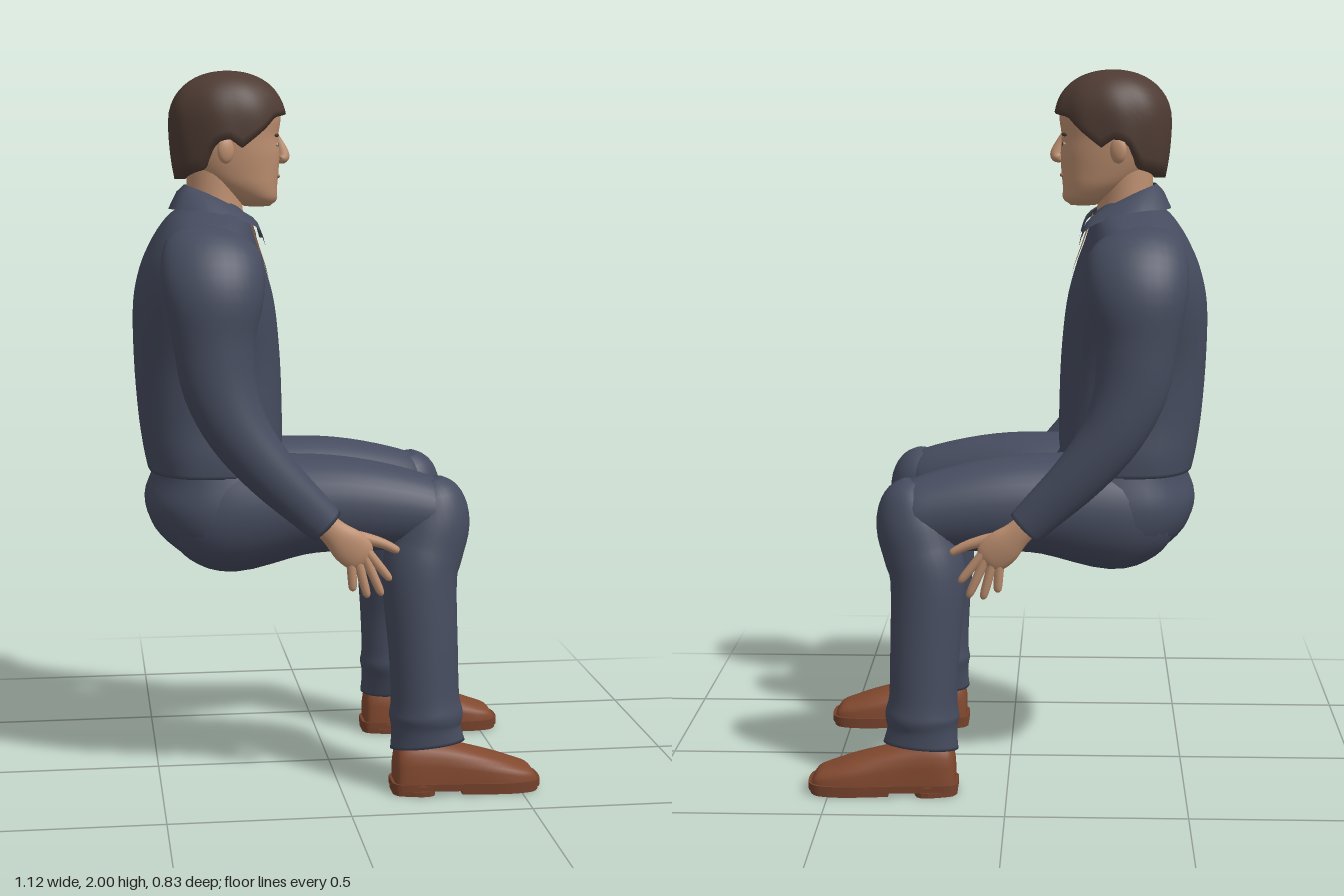
import * as THREE from 'three';

const mat = (name, color, side = THREE.FrontSide) => {
  const m = new THREE.MeshStandardMaterial({ color, side });
  m.name = name;
  return m;
};
const V = (x, y, z) => new THREE.Vector3(x, y, z);
const pw = (v, e) => Math.sign(v) * Math.abs(v) ** e;

// Smooth interpolation through rows of numbers
function smooth(rows, sub = 4) {
  const out = [];
  const at = i => rows[Math.max(0, Math.min(rows.length - 1, i))];
  for (let i = 0; i < rows.length - 1; i++) {
    for (let k = 0; k < sub; k++) {
      const t = k / sub;
      out.push(rows[i].map((b, c) => {
        const a = at(i - 1)[c], d = at(i + 1)[c], e = at(i + 2)[c];
        return b + 0.5 * t * (d - a + t * (2 * a - 5 * b + 4 * d - e + t * (3 * (b - d) + e - a)));
      }));
    }
  }
  out.push(rows[rows.length - 1]);
  return out;
}

// Skin over closed rings of points, with both ends capped
function loft(rings) {
  const n = rings[0].length, m = rings.length, pos = [], idx = [];
  rings.forEach(r => r.forEach(p => pos.push(p.x, p.y, p.z)));
  for (let i = 0; i < m - 1; i++) for (let j = 0; j < n; j++) {
    const k = (j + 1) % n, a = i * n + j, b = i * n + k;
    idx.push(a, b, a + n, b, b + n, a + n);
  }
  [0, m - 1].forEach((i, end) => {
    const c = rings[i].reduce((s, p) => s.add(p), V(0, 0, 0)).divideScalar(n);
    const ci = pos.length / 3;
    pos.push(c.x, c.y, c.z);
    for (let j = 0; j < n; j++) {
      const a = i * n + j, b = i * n + (j + 1) % n;
      end ? idx.push(a, b, ci) : idx.push(b, a, ci);
    }
  });
  return surface(pos, idx);
}
function surface(pos, idx) {
  const g = new THREE.BufferGeometry();
  g.setAttribute('position', new THREE.Float32BufferAttribute(pos, 3));
  g.setIndex(idx);
  g.computeVertexNormals();
  return g;
}

// Body of level rings, top down: [y, xBack, xFront, halfWidth]
function stack(rows, p, n = 40) {
  return loft(smooth(rows).map(([y, b, f, w]) => Array.from({ length: n }, (_, j) => {
    const a = j / n * Math.PI * 2;
    return V((b + f) / 2 + (f - b) / 2 * pw(Math.cos(a), 2 / p), y, w * pw(Math.sin(a), 2 / p));
  })));
}
// Front x of such a body at a height and a side offset
function frontX(rows, p, y, z) {
  let i = 0;
  while (i < rows.length - 2 && rows[i + 1][0] > y) i++;
  const t = (y - rows[i][0]) / (rows[i + 1][0] - rows[i][0]);
  const [, b, f, w] = rows[i].map((v, c) => v + (rows[i + 1][c] - v) * t);
  return (b + f) / 2 + (f - b) / 2 * Math.max(0, 1 - Math.abs(z / w) ** p) ** (1 / p);
}
// Limb along a path: [x, y, z, radius in the side plane, radius across]
function limb(rows, s, n = 24, sub = 4) {
  const pts = smooth(rows.map(([x, y, z, a, b]) => [x, y, z * s, a, b]), sub);
  const at = i => V(...pts[Math.max(0, Math.min(pts.length - 1, i))].slice(0, 3));
  return loft(pts.map((q, i) => {
    const t = at(i + 1).sub(at(i - 1)).normalize();
    const side = V(0, 0, 1).addScaledVector(t, -t.z).normalize();
    const up = side.clone().cross(t);
    return Array.from({ length: n }, (_, j) => {
      const a = j / n * Math.PI * 2;
      return at(i).addScaledVector(up, q[3] * Math.cos(a)).addScaledVector(side, q[4] * Math.sin(a));
    });
  }));
}

const TORSO = [[1.635, -.4, -.27, .1], [1.605, -.445, -.24, .19], [1.57, -.475, -.225, .265], [1.52, -.505, -.21, .31],
  [1.45, -.535, -.185, .315], [1.35, -.555, -.16, .295], [1.2, -.555, -.145, .258], [1.05, -.545, -.14, .252],
  [.95, -.532, -.14, .262], [.89, -.52, -.15, .262]];
const PELVIS = [[.95, -.5, -.16, .24], [.88, -.505, -.12, .265], [.8, -.53, -.09, .285], [.72, -.505, -.09, .275],
  [.66, -.445, -.14, .23], [.63, -.4, -.2, .17]];
const HEAD = [[1.97, -.34, -.22, .05], [1.94, -.4, -.16, .1], [1.88, -.43, -.137, .115], [1.82, -.43, -.143, .112],
  [1.77, -.42, -.14, .107], [1.72, -.39, -.143, .098], [1.68, -.34, -.147, .087], [1.645, -.28, -.15, .065], [1.625, -.24, -.168, .034]];
const ARM = [[-.345, 1.525, .17, .09, .05], [-.347, 1.515, .22, .125, .07], [-.35, 1.485, .275, .138, .087], [-.35, 1.4, .315, .136, .097],
  [-.35, 1.28, .322, .112, .09], [-.335, 1.15, .332, .1, .08], [-.285, 1.03, .34, .085, .073], [-.2, .92, .345, .072, .06],
  [-.1, .82, .345, .06, .044], [-.05, .77, .342, .054, .038]];
const THIGH = [[-.46, .77, .13, .06, .05], [-.41, .77, .14, .125, .11], [-.3, .775, .15, .165, .143], [-.1, .8, .165, .142, .146],
  [.05, .8, .19, .13, .132], [.2, .785, .215, .112, .11], [.28, .775, .23, .09, .09], [.33, .77, .23, .045, .05]];
const SHIN = [[.25, .87, .222, .04, .04], [.26, .83, .225, .085, .08], [.262, .76, .23, .106, .1], [.24, .68, .243, .108, .104],
  [.222, .6, .26, .105, .103], [.23, .4, .285, .097, .09], [.235, .27, .288, .096, .094], [.238, .22, .288, .104, .1],
  [.238, .18, .29, .098, .09], [.242, .132, .295, .106, .082]];
const FINGERS = { index: [.06, .7, .13, .612], middle: [.055, .685, .106, .57], ring: [.038, .67, .066, .565], little: [.02, .66, .025, .585] };

export function createModel() {
  const cloth = mat('navy cloth', 0x464c5f), fold = mat('navy collar', 0x464c5f, THREE.DoubleSide);
  const skin = mat('skin', 0xbd8f70, THREE.DoubleSide), hairMat = mat('dark brown hair', 0x4e3b33);
  const leather = mat('brown leather', 0x82492f), soleMat = mat('leather sole', 0x75412b);
  const white = mat('eye white', 0xb5a596), lipMat = mat('lips', 0xa06d57);
  const model = new THREE.Group();
  const add = (name, geo, m, parent = model) => {
    const mesh = new THREE.Mesh(geo, m);
    mesh.name = name;
    parent.add(mesh);
    return mesh;
  };
  const blob = (name, m, [x, y, z], [a, b, c]) => {
    const mesh = add(name, new THREE.SphereGeometry(1, 20, 14), m);
    mesh.position.set(x, y, z);
    mesh.scale.set(a, b, c);
    return mesh;
  };

  // Trunk, neck and head
  add('shirt', stack(TORSO, 2.6), cloth);
  add('trouserSeat', stack(PELVIS, 2.4), cloth);
  add('neck', stack([[1.74, -.4, -.24, .085], [1.65, -.402, -.247, .085], [1.55, -.41, -.235, .09]], 2), skin);
  add('head', stack(HEAD, 2.2), skin);

  // Open neckline
  const pos = [], idx = [], rows = 10, cols = 8;
  for (let i = 0; i <= rows; i++) for (let j = 0; j <= cols; j++) {
    const y = 1.42 + .18 * i / rows, z = (j / cols * 2 - 1) * .078 * Math.min(1, i / rows * 1.2);
    pos.push(frontX(TORSO, 2.6, y, z) + .006, y, z);
    if (i < rows && j < cols) {
      const a = i * (cols + 1) + j, c = a + cols + 1;
      idx.push(a, c, a + 1, a + 1, c, c + 1);
    }
  }
  add('neckline', surface(pos, idx), skin);

  // Folded collar: inner and outer edge, front to back
  const edge = smooth([[-.203, 1.54, .06, -.193, 1.52, .14], [-.232, 1.6, .088, -.222, 1.575, .165],
    [-.33, 1.655, .095, -.34, 1.615, .172], [-.395, 1.682, .062, -.435, 1.62, .11], [-.41, 1.685, 0, -.452, 1.618, 0]]);
  for (const s of [1, -1]) {
    const p = [], f = [];
    edge.forEach((e, i) => {
      p.push(e[0], e[1], e[2] * s, (e[0] + e[3]) / 2, (e[1] + e[4]) / 2 + .012, (e[2] + e[5]) / 2 * s, e[3], e[4], e[5] * s);
      if (i) for (const k of [0, 1]) {
        const a = i * 3 - 3 + k, q = s > 0 ? [a, a + 1, a + 3, a + 1, a + 4, a + 3] : [a, a + 3, a + 1, a + 1, a + 3, a + 4];
        f.push(...q);
      }
    });
    add('collar', surface(p, f), fold);
  }

  // Hair cap with a hairline that drops toward the nape
  const line = [[0, 1.885], [40, 1.872], [62, 1.825], [78, 1.79], [92, 1.815], [106, 1.8], [122, 1.73], [181, 1.7]];
  const hairline = a => {
    const d = Math.abs(a > Math.PI ? a - Math.PI * 2 : a) * 180 / Math.PI;
    const i = line.findIndex(l => l[0] > d), [p, q] = [line[i - 1], line[i]];
    return p[1] + (q[1] - p[1]) * (d - p[0]) / (q[0] - p[0]);
  };
  add('hair', loft(Array.from({ length: 18 }, (_, i) => Array.from({ length: 60 }, (_, j) => {
    const a = j / 60 * Math.PI * 2, t = Math.max(.04, Math.min(1, i / 16)), y = 2 - (2 - hairline(a)) * t * t;
    let r = y > 1.86 ? (1 - ((y - 1.86) / .14) ** 2.15) ** (1 / 2.15) : 1 - 4 * (1.86 - y) ** 2;
    r *= (1 + .012 * Math.sin(9 * a + 5 * t) * t) * (i === 17 ? .8 : 1);
    return V(-.285 + .165 * r * Math.cos(a), y, .131 * r * Math.sin(a));
  }))), hairMat);

  // Face
  add('nose', limb([[-.152, 1.825, 0, .008, .009], [-.14, 1.8, 0, .012, .01], [-.13, 1.77, 0, .018, .015],
    [-.132, 1.757, 0, .016, .019], [-.144, 1.748, 0, .006, .01]], 1, 16), skin);
  blob('mouth', lipMat, [-.146, 1.708, 0], [.007, .006, .03]);
  blob('chin', skin, [-.168, 1.652, 0], [.022, .022, .035]);
  for (const s of [1, -1]) {
    const x = (y, z) => frontX(HEAD, 2.2, y, z);
    blob('eye', white, [x(1.796, .042), 1.796, .042 * s], [.004, .005, .014]).rotation.y = -s * .25;
    blob('iris', hairMat, [x(1.796, .041) + .002, 1.796, .041 * s], [.003, .005, .006]);
    blob('eyebrow', hairMat, [x(1.822, .043), 1.822, .043 * s], [.005, .005, .025]).rotation.y = -s * .25;
    blob('ear', skin, [-.3, 1.782, .118 * s], [.024, .036, .014]).rotation.y = s * .3;
  }

  // Limbs, hands and shoes on both sides
  for (const s of [1, -1]) {
    const side = s > 0 ? 'right' : 'left';
    add(side + 'Sleeve', limb(ARM, s, 32), cloth);
    add(side + 'Thigh', limb(THIGH, s, 32), cloth);
    add(side + 'TrouserLeg', limb(SHIN, s, 32), cloth);

    const hand = new THREE.Group();
    hand.name = side + 'Hand';
    model.add(hand);
    add('palm', limb([[-.08, .8, .342, .034, .027], [-.03, .752, .342, .038, .024], [.01, .715, .34, .05, .022],
      [.045, .682, .335, .046, .018], [.06, .668, .333, .028, .01]], s), skin, hand);
    for (const [name, [x0, y0, x1, y1]] of Object.entries(FINGERS)) {
      const mix = t => [x0 + (x1 - x0) * t, y0 + (y1 - y0) * t, .336 - .004 * t];
      add(name + 'Finger', limb([[...mix(-.25), .014, .013], [...mix(.4), .013, .013], [...mix(.88), .011, .011], [...mix(1), .004, .004]], s, 10), skin, hand);
    }
    add('thumb', limb([[-.005, .745, .335, .018, .015], [.055, .73, .322, .017, .015], [.11, .712, .315, .014, .013],
      [.148, .692, .31, .011, .011], [.157, .687, .31, .004, .004]], s, 12), skin, hand);

    const shoe = new THREE.Group();
    shoe.name = side + 'Shoe';
    shoe.position.z = .298 * s;
    model.add(shoe);
    // Upper as arched sections from heel to toe: [x, height, halfWidth]
    add('shoeUpper', loft(smooth([[.145, .07, .035], [.158, .115, .055], [.2, .125, .064], [.28, .115, .066], [.35, .098, .071],
      [.43, .074, .077], [.49, .052, .074], [.53, .036, .062], [.548, .012, .045]]).map(([x, h, w]) =>
      Array.from({ length: 24 }, (_, j) => {
        const a = j / 24 * Math.PI * 2;
        return V(x, .025 + h * Math.max(0, Math.cos(a)) ** .55, w * pw(Math.sin(a), .7));
      }))), leather, shoe);
    const slab = (name, outline, top, depth) => {
      const pts = smooth([...outline, ...outline.slice().reverse().map(([x, z]) => [x, -z])], 5);
      const g = new THREE.ExtrudeGeometry(new THREE.Shape(pts.map(p => new THREE.Vector2(p[0], p[1]))), { depth, bevelEnabled: false });
      add(name, g.rotateX(Math.PI / 2).translate(0, top, 0), soleMat, shoe);
    };
    slab('sole', [[.137, .035], [.16, .06], [.25, .066], [.35, .073], [.45, .082], [.52, .074], [.55, .052], [.558, .02]], .033, .02);
    slab('heel', [[.139, .033], [.162, .058], [.25, .063]], .014, .014);
    slab('forefoot', [[.33, .068], [.45, .079], [.52, .071], [.545, .05], [.553, .02]], .014, .012);
  }
  return model;
}
